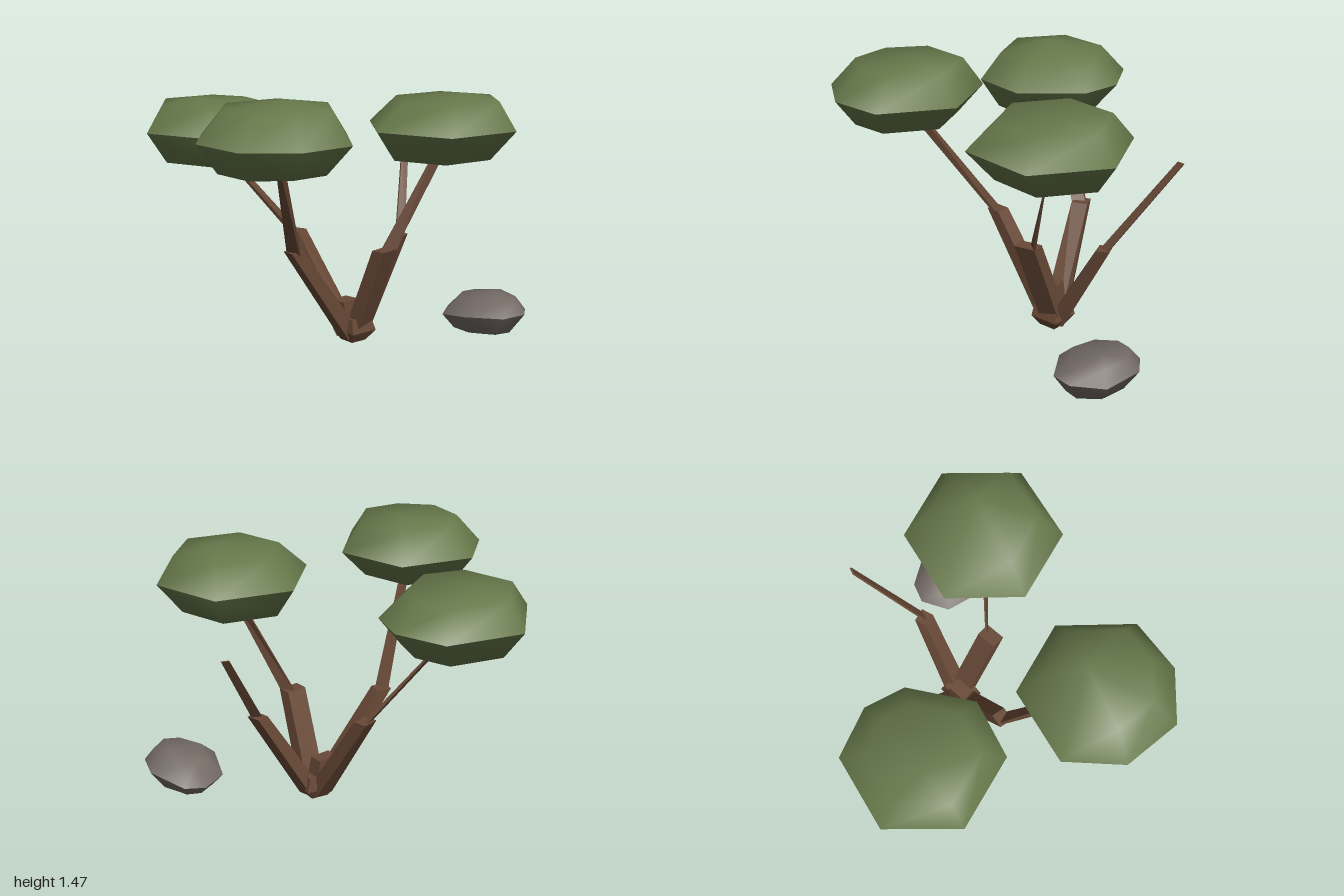
import * as THREE from 'three';

const leaf = new THREE.MeshStandardMaterial({ color: 0x66784a });
leaf.name = 'leaf green';
const bark = new THREE.MeshStandardMaterial({ color: 0x684936 });
bark.name = 'bark brown';
const stone = new THREE.MeshStandardMaterial({ color: 0x746b65 });
stone.name = 'stone grey';

// Half of a lump: rim loop, a smaller ring and an apex, smooth inside the half.
function halfLump(rim, scale, apex, lift, up) {
  const n = rim.length;
  const mid = rim.reduce((s, p) => s.add(p), new THREE.Vector3()).divideScalar(n);
  const pos = [], idx = [];
  const tri = (a, b, c) => (up ? idx.push(a, c, b) : idx.push(a, b, c));
  rim.forEach((p) => pos.push(p.x, p.y, p.z));
  rim.forEach((p) => {
    const q = p.clone().sub(mid).multiplyScalar(scale).add(mid);
    // the ring leans a little towards the apex
    q.x += (apex.x - mid.x) * 0.25;
    q.z += (apex.z - mid.z) * 0.25;
    q.y = THREE.MathUtils.lerp(p.y, apex.y, lift);
    pos.push(q.x, q.y, q.z);
  });
  pos.push(apex.x, apex.y, apex.z);
  for (let i = 0; i < n; i++) {
    const j = (i + 1) % n;
    tri(n + i, i, j);
    tri(n + i, j, n + j);
    tri(2 * n, n + i, n + j);
  }
  const g = new THREE.BufferGeometry();
  g.setAttribute('position', new THREE.Float32BufferAttribute(pos, 3));
  g.setIndex(idx);
  g.computeVertexNormals();
  return g;
}

function lump(name, material, rim, top, bottom, scale, lift) {
  const group = new THREE.Group();
  group.name = name;
  const points = rim.map((p) => new THREE.Vector3(...p));
  [[top, true, 'Top'], [bottom, false, 'Underside']].forEach(([apex, up, suffix]) => {
    const g = halfLump(points, scale, new THREE.Vector3(...apex), lift, up);
    const mesh = new THREE.Mesh(g, material);
    mesh.name = name + suffix;
    group.add(mesh);
  });
  return group;
}

// Four-sided limb between two points; w0 and w1 are half-width vectors [x, z], t0 and t1 half thicknesses.
function limb(name, from, to, w0, w1, t0, t1) {
  const corners = [];
  [[from, w0, t0], [to, w1, t1]].forEach(([c, w, t]) => {
    const l = Math.hypot(w[0], w[1]);
    const nx = (-w[1] / l) * t, nz = (w[0] / l) * t;
    [[-1, -1], [1, -1], [1, 1], [-1, 1]].forEach(([a, b]) => {
      corners.push([c[0] + a * w[0] + b * nx, c[1], c[2] + a * w[1] + b * nz]);
    });
  });
  const pos = [];
  const quad = (a, b, c, d) => [a, b, c, a, c, d].forEach((i) => pos.push(...corners[i]));
  for (let i = 0; i < 4; i++) {
    const j = (i + 1) % 4;
    quad(i, i + 4, j + 4, j);
  }
  quad(0, 1, 2, 3);
  quad(7, 6, 5, 4);
  const g = new THREE.BufferGeometry();
  g.setAttribute('position', new THREE.Float32BufferAttribute(pos, 3));
  g.computeVertexNormals();
  const mesh = new THREE.Mesh(g, bark);
  mesh.name = name;
  return mesh;
}

export function createModel() {
  const model = new THREE.Group();
  model.name = 'tree';

  // Canopies: flat rims with a low dome above and below
  const canopy = (name, y, rim, top, bottom) =>
    model.add(lump(name, leaf, rim.map(([x, z]) => [x, y, z]), top, bottom, 0.7, 0.85));
  canopy('rightCanopy', 1.28,
    [[-0.69, -0.14], [-0.28, -0.01], [-0.19, 0.4], [-0.5, 0.69], [-0.8, 0.63], [-1, 0.4], [-0.95, 0.07]],
    [-0.5, 1.47, 0.27], [-0.66, 1.1, 0.27]);
  canopy('frontCanopy', 1.25,
    [[0.35, 0.14], [0.76, 0.27], [0.86, 0.68], [0.54, 0.97], [0.13, 0.84], [0.04, 0.43]],
    [0.55, 1.425, 0.62], [0.47, 1.055, 0.48]);
  canopy('backCanopy', 1.2,
    [[-0.24, -0.98], [0.17, -0.85], [0.26, -0.57], [0.18, -0.35], [-0.15, -0.16], [-0.46, -0.28], [-0.55, -0.7]],
    [-0.24, 1.37, -0.65], [-0.24, 1, -0.54]);

  // Lower trunks, splayed from one root
  const trunks = [
    ['rightTrunk', [0.22, 0.02, 0.12], [-0.17, 0.58, 0.03], [0.05, 0.012], [0.04, 0.01], 0.04],
    ['backTrunk', [0.23, 0.02, 0.1], [0.2, 0.59, -0.27], [0.055, 0], [0.045, -0.01], 0.04],
    ['frontTrunk', [0.25, 0.05, 0.14], [0.21, 0.57, 0.36], [0.06, 0], [0.06, 0], 0.04],
    ['leftTrunk', [0.26, 0.02, 0.13], [0.575, 0.565, 0.19], [0.05, -0.01], [0.035, -0.008], 0.04],
  ];
  trunks.forEach(([name, a, b, w0, w1, t]) => model.add(limb(name, a, b, w0, w1, t * 1.15, t)));

  // Thin, twisted upper branches
  model.add(limb('rightBranch', [-0.17, 0.56, 0.03], [-0.58, 1.2, 0.28], [0.008, 0.04], [0.03, -0.008], 0.008, 0.008));
  model.add(limb('backBranch', [0.2, 0.56, -0.26], [-0.13, 1.08, -0.55], [0.038, -0.015], [0.026, -0.005], 0.014, 0.006));
  model.add(limb('frontBranch', [0.24, 0.56, 0.36], [0.44, 1.12, 0.56], [0.025, 0.03], [0.008, 0.028], 0.006, 0.005));
  model.add(limb('bareBranch', [0.57, 0.55, 0.2], [0.9, 1.045, -0.01], [0.026, 0.012], [0.02, 0.008], 0.006, 0.005));

  // Root: narrow foot, flared collar and a stub
  model.add(limb('rootFoot', [0.235, 0, 0.125], [0.24, 0.06, 0.13], [0.05, 0.01], [0.085, 0.015], 0.05, 0.085));
  model.add(limb('rootCollar', [0.24, 0.06, 0.13], [0.235, 0.14, 0.125], [0.085, 0.015], [0.07, 0.012], 0.085, 0.07));
  model.add(limb('rootStub', [0.22, 0.08, 0.1], [0.2, 0.24, 0.09], [0.06, 0], [0.06, 0], 0.05, 0.04));

  // Rock with a tilted, uneven rim
  model.add(lump('rock', stone,
    [[0.8, 0.12, 0.39], [0.91, 0.13, 0.44], [1, 0.18, 0.64], [0.92, 0.16, 0.84],
      [0.76, 0.18, 0.93], [0.64, 0.17, 0.87], [0.56, 0.16, 0.66], [0.64, 0.12, 0.46]],
    [0.83, 0.26, 0.7], [0.73, 0.02, 0.65], 0.68, 0.75));

  return model;
}
